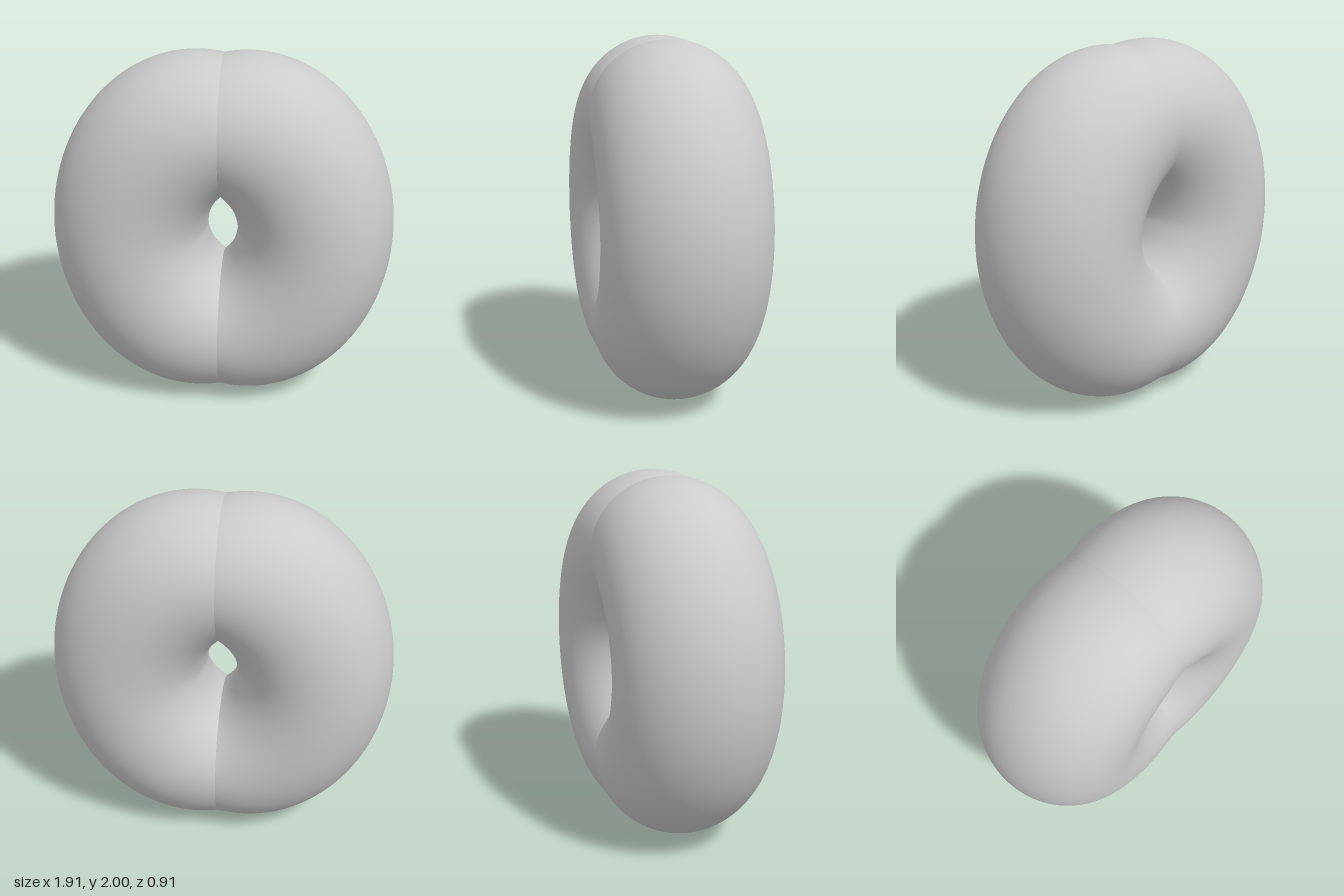
import * as THREE from 'three';

const STEPS = 120; // sections along the half ring
const SIDES = 72;  // points around each section

// Distance from the ring's middle to the outer edge: an ellipse shifted off centre
function outerRadius(angle) {
  const shift = 0.14, a = 0.815, b = 1;
  const c = Math.cos(angle), s = Math.sin(angle);
  const A = (c * c) / (a * a) + (s * s) / (b * b);
  const B = (-2 * c * shift) / (a * a);
  const C = (shift * shift) / (a * a) - 1;
  return (-B + Math.sqrt(B * B - 4 * A * C)) / (2 * A);
}

// Half ring swept from bottom to top through oval cross-sections
function halfRingGeometry() {
  const positions = [], indices = [];
  for (let i = 0; i <= STEPS; i++) {
    const t = (i / STEPS) * 2 - 1; // -1 bottom, 1 top
    const angle = (t * Math.PI) / 2;
    const inner = 0.085 + 0.125 * Math.abs(t) ** 2.7;
    const outer = outerRadius(angle);
    const middle = (inner + outer) / 2, half = (outer - inner) / 2;
    const depth = 0.455 - 0.035 * t ** 4;
    for (let j = 0; j < SIDES; j++) {
      const turn = (j / SIDES) * Math.PI * 2;
      const r = middle + half * Math.cos(turn);
      positions.push(r * Math.cos(angle), 1 + r * Math.sin(angle), depth * Math.sin(turn));
    }
  }
  for (let i = 0; i < STEPS; i++) {
    for (let j = 0; j < SIDES; j++) {
      const k = (j + 1) % SIDES;
      const a = i * SIDES + j, b = i * SIDES + k;
      const c = a + SIDES, d = b + SIDES;
      indices.push(a, c, b, b, c, d);
    }
  }
  const geometry = new THREE.BufferGeometry();
  geometry.setAttribute('position', new THREE.Float32BufferAttribute(positions, 3));
  geometry.setIndex(indices);
  geometry.computeVertexNormals();
  return geometry;
}

export function createModel() {
  const group = new THREE.Group();
  group.name = 'splitRing';
  const material = new THREE.MeshStandardMaterial({ color: 0xcccccc, side: THREE.DoubleSide });
  const geometry = halfRingGeometry();

  // Two equal halves meet in a crease at x = 0
  ['leftHalf', 'rightHalf'].forEach((name, i) => {
    const half = new THREE.Mesh(geometry, material);
    half.name = name;
    half.rotation.y = i * Math.PI;
    group.add(half);
  });
  return group;
}
